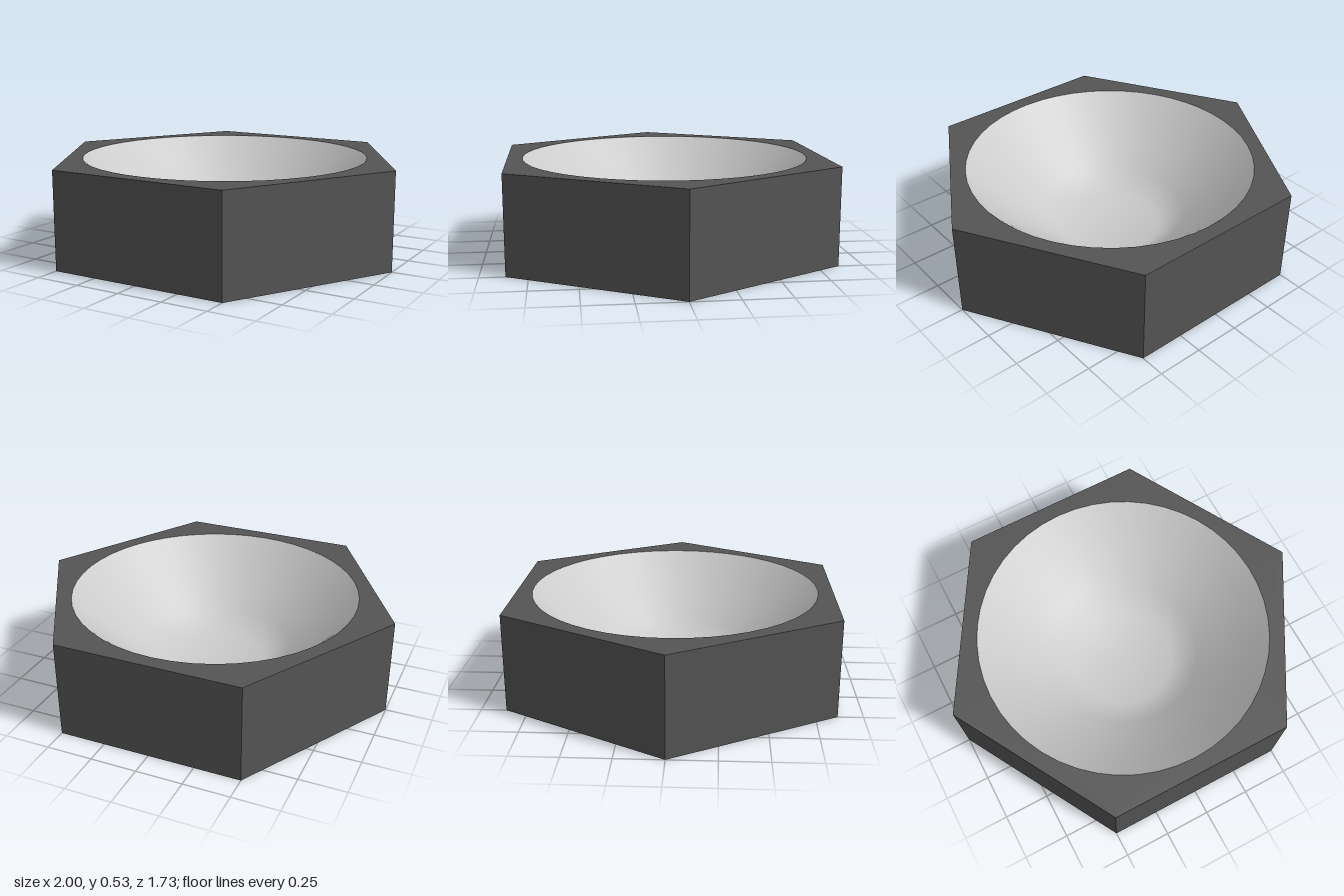
import * as THREE from 'three';

const H = 0.53, HOLE = 0.785, APOTHEM = Math.sqrt(3) / 2;

export function createModel() {
  const model = new THREE.Group();
  const dark = (opts = {}) => new THREE.MeshStandardMaterial({ color: 0x555555, ...opts });
  const grey = (opts = {}) => new THREE.MeshStandardMaterial({ color: 0xcccccc, ...opts });
  const add = (name, geometry, material, parent = model) => {
    const mesh = new THREE.Mesh(geometry, material);
    mesh.name = name;
    parent.add(mesh);
    return mesh;
  };

  // Hexagonal wall, open at the bottom: dark outside, grey lining
  const hexTube = (r, h) =>
    new THREE.CylinderGeometry(r, r, h, 6, 1, true, Math.PI / 2).translate(0, h / 2, 0);
  add('outerWall', hexTube(1, H), dark({ flatShading: true }));
  add('wallLining', hexTube(0.995, H - 0.004), grey({ flatShading: true, side: THREE.BackSide }));

  // Dark panels on the inner faces, leaving a grey border
  const panels = new THREE.Group();
  panels.name = 'innerPanels';
  model.add(panels);
  for (let i = 0; i < 6; i++) {
    const panel = new THREE.PlaneGeometry(0.94, 0.49);
    panel.rotateY(Math.PI).translate(0, 0.245, APOTHEM - 0.008).rotateY(i * Math.PI / 3);
    add('innerPanel', panel, dark(), panels);
  }

  // Top plate with a round opening, and its grey underside
  const hexWithHole = (r) => {
    const shape = new THREE.Shape();
    for (let i = 0; i < 6; i++) {
      const a = i * Math.PI / 3;
      shape[i ? 'lineTo' : 'moveTo'](r * Math.cos(a), r * Math.sin(a));
    }
    shape.closePath();
    shape.holes.push(new THREE.Path().absarc(0, 0, HOLE, 0, Math.PI * 2, true));
    return new THREE.ShapeGeometry(shape, 24).rotateX(-Math.PI / 2);
  };
  add('topPlate', hexWithHole(1).translate(0, H, 0), dark());
  add('topPlateUnderside', hexWithHole(0.995).translate(0, H - 0.004, 0),
    grey({ side: THREE.BackSide }));

  // Bowl: grey inside, dark outside with a flat base
  const side = [[0.28, 0.09], [0.42, 0.195], [0.56, 0.31], [0.68, 0.42], [HOLE, H]]
    .map(([r, y]) => new THREE.Vector2(r, y));
  const inside = [new THREE.Vector2(0, 0.09), ...side]
    .map((p) => new THREE.Vector2(p.x, Math.min(H, p.y + 0.006))).reverse();
  add('bowlInside', new THREE.LatheGeometry(inside, 48), grey());
  add('bowlOutside', new THREE.LatheGeometry(side, 48), dark());
  add('bowlBase', new THREE.CircleGeometry(0.28, 48).rotateX(Math.PI / 2).translate(0, 0.09, 0), dark());

  return model;
}
